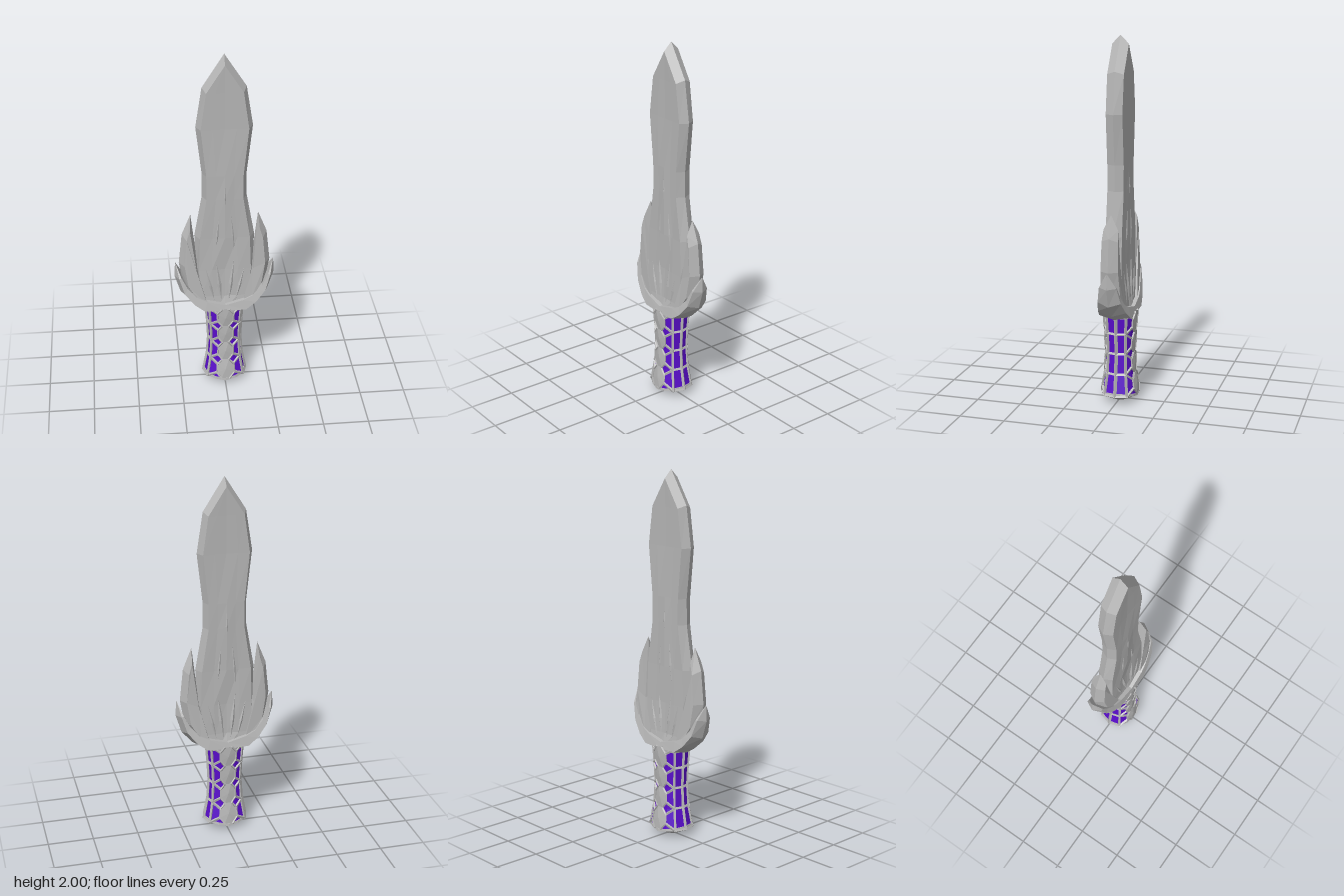
import * as THREE from 'three';

const steel = new THREE.MeshStandardMaterial({ color: 0xb6b6b6 });
steel.name = 'steel grey';
const grip = new THREE.MeshStandardMaterial({ color: 0x5a0dcc });
grip.name = 'grip purple';

// Flat-shaded mesh from a list of triangles (three [x,y,z] corners each)
function facets(tris, mat, name) {
  const g = new THREE.BufferGeometry();
  g.setAttribute('position', new THREE.Float32BufferAttribute(tris.flat(2), 3));
  g.computeVertexNormals();
  const m = new THREE.Mesh(g, mat);
  m.name = name;
  return m;
}

// Skin between successive closed rings, with optional fans at both ends
function loft(rings, start, end) {
  const t = [], n = rings[0].length, last = rings[rings.length - 1];
  for (let r = 0; r + 1 < rings.length; r++)
    for (let i = 0; i < n; i++) {
      const j = (i + 1) % n, a = rings[r], b = rings[r + 1];
      t.push([a[i], b[i], a[j]], [a[j], b[i], b[j]]);
    }
  for (let i = 0; i < n; i++) {
    const j = (i + 1) % n;
    if (start) t.push([start, rings[0][i], rings[0][j]]);
    if (end) t.push([end, last[j], last[i]]);
  }
  return t;
}

// Double-sided bevelled plate: sharp outline at z = 0, inset outline raised front and back
function bevelPlate(outer, inner) {
  const t = [], n = outer.length;
  const o = outer.map(([x, y]) => [x, y, 0]);
  const caps = THREE.ShapeUtils.triangulateShape(inner.map(([x, y]) => new THREE.Vector2(x, y)), []);
  for (let i = 0; i < n; i++) {
    const j = (i + 1) % n;
    t.push([o[i], o[j], inner[j]], [o[i], inner[j], inner[i]]);
  }
  for (const f of caps) t.push(f.map((i) => inner[i]));
  const back = t.map((tri) => tri.map(([x, y, z]) => [x, y, -z]).reverse());
  return t.concat(back);
}

// Handle surface: u = 0 front centre, 3 (or -3) at the side; off pushes outward
const SECTION = [[0, 0.08], [0.045, 0.073], [0.083, 0.052], [0.098, 0]];
const FLARE = [[0, 1.22], [0.05, 1.2], [0.16, 0.98], [0.28, 0.9], [0.4, 0.96], [0.52, 1.06]];
function flare(y) {
  for (let i = 1; i < FLARE.length; i++) {
    const [y0, s0] = FLARE[i - 1], [y1, s1] = FLARE[i];
    if (y <= y1) return s0 + (s1 - s0) * (y - y0) / (y1 - y0);
  }
  return FLARE[FLARE.length - 1][1];
}
function surf(u, y, off = 0) {
  const a = Math.abs(u), k = Math.min(2, Math.floor(a)), f = a - k, s = flare(y);
  const x = (SECTION[k][0] + (SECTION[k + 1][0] - SECTION[k][0]) * f) * s;
  const z = (SECTION[k][1] + (SECTION[k + 1][1] - SECTION[k][1]) * f) * s;
  const l = 1 + off / Math.hypot(x, z);
  return [Math.sign(u) * x * l, y, z * l];
}
function handleRing(y, scale = 1, yAt = () => y) {
  const ring = [];
  for (let u = 3; u >= -2; u--) ring.push(surf(u, y));
  const all = ring.concat(ring.map(([x, yy, z]) => [-x, yy, -z]));
  return all.map(([x, , z]) => [x * scale, yAt(x, z), z * scale]);
}

// Four-sided metal rib between two points
function rib(a, b, r = 0.008) {
  const p = new THREE.Vector3(...a), q = new THREE.Vector3(...b);
  const d = q.clone().sub(p), len = d.length();
  const g = new THREE.CylinderGeometry(r, r, len + r, 4).toNonIndexed();
  g.computeVertexNormals();
  const m = new THREE.Mesh(g, steel);
  m.position.copy(p).add(q).multiplyScalar(0.5);
  m.quaternion.setFromUnitVectors(new THREE.Vector3(0, 1, 0), d.normalize());
  m.name = 'handleRib';
  return m;
}

// One face of the honeycomb cage on the handle
function cageHalf() {
  const g = new THREE.Group();
  g.name = 'handleCage';
  const joints = [0.045, 0.165, 0.28, 0.395, 0.51];
  for (let k = 0; k < 4; k++) {
    const lo = joints[k], hi = joints[k + 1], mid = (lo + hi) / 2;
    const rim = [[0.4, lo], [0.9, mid - 0.026], [0.9, mid + 0.026], [0.4, hi],
      [-0.4, hi], [-0.9, mid + 0.026], [-0.9, mid - 0.026], [-0.4, lo]];
    const pts = rim.map(([u, y]) => surf(u, y, 0.008));
    const centre = surf(0, mid, 0.011);
    g.add(facets(pts.map((p, i) => [centre, p, pts[(i + 1) % 8]]), steel, 'hexPlate'));
    pts.forEach((p, i) => { if (i !== 3 && i !== 7) g.add(rib(p, pts[(i + 1) % 8], 0.006)); });
    for (const s of [1, -1]) {
      g.add(rib(surf(0.9 * s, mid - 0.026, 0.004), surf(2 * s, lo, 0.002)));
      g.add(rib(surf(0.9 * s, mid + 0.026, 0.004), surf(2 * s, hi, 0.002)));
      g.add(rib(surf(2 * s, lo), surf(2 * s, hi), 0.009));
      g.add(rib(surf(2 * s, lo), surf(3 * s, lo), 0.009));
    }
    g.add(rib(surf(3, lo), surf(3, hi), 0.01));
  }
  return g;
}

// Blade rows: outer y, inner y, outer half width, inner half width, face z, mid rise, centre rise
const BLADE = [
  [0.5, 0.5, 0.1, 0.09, 0.06, 0.0, 0.008],
  [0.58, 0.58, 0.15, 0.135, 0.052, 0.0, -0.003],
  [0.75, 0.75, 0.158, 0.142, 0.046, 0.002, -0.004],
  [0.95, 0.95, 0.162, 0.135, 0.045, -0.002, 0.003],
  [1.19, 1.19, 0.12, 0.098, 0.045, 0.0, 0.005],
  [1.33, 1.33, 0.119, 0.098, 0.045, 0.001, 0.003],
  [1.6, 1.6, 0.149, 0.125, 0.045, -0.002, -0.004],
  [1.82, 1.805, 0.115, 0.096, 0.045, -0.001, -0.003],
  [2.0, 1.955, 0, 0, 0.045, 0, 0],
];
function bladeRing([yo, yi, w, wi, z, a, b]) {
  const half = [[w, yo, 0], [wi, yi, z], [wi * 0.5, yi, z + a], [0, yi, z + b],
    [-wi * 0.5, yi, z + a], [-wi, yi, z]];
  return half.concat(half.map(([x, y, zz]) => [-x, y, -zz]));
}

// Slim raised flame crease lying on a blade face
function flame(x0, y0, x1, y1, w, z0, z1) {
  const d = new THREE.Vector2(x1 - x0, y1 - y0).normalize();
  const mx = x0 + (x1 - x0) * 0.4, my = y0 + (y1 - y0) * 0.4, mz = z0 + (z1 - z0) * 0.4;
  const A = [x0, y0, z0], B = [x1, y1, z1], M = [mx, my, mz + 0.007];
  const R = [mx + d.y * w, my - d.x * w, mz - 0.003], L = [mx - d.y * w, my + d.x * w, mz - 0.003];
  return [[A, R, M], [R, B, M], [B, L, M], [L, A, M]];
}

export function createModel() {
  const root = new THREE.Group();
  root.name = 'dagger';

  // Blade
  root.add(facets(loft(BLADE.map(bladeRing), [0, 0.5, 0]), steel, 'blade'));
  const creases = [flame(0, 1.12, 0, 1.32, 0.014, 0.047, 0.046)];
  for (const s of [1, -1]) {
    creases.push(flame(0.02 * s, 0.55, 0.05 * s, 0.82, 0.012, 0.055, 0.044));
    creases.push(flame(0.06 * s, 0.56, 0.11 * s, 0.78, 0.012, 0.054, 0.045));
    creases.push(flame(0.05 * s, 0.86, 0.03 * s, 1.12, 0.012, 0.043, 0.045));
  }
  const front = facets(creases.flat(), steel, 'flameCreases');
  const rear = front.clone();
  rear.rotation.y = Math.PI;
  root.add(front, rear);

  // Flame prongs beside the blade
  const outer = [[0.182, 1.08], [0.145, 0.76], [0.09, 0.52], [0.15, 0.53], [0.225, 0.64], [0.249, 0.78], [0.23, 0.96]];
  const inner = [[0.188, 1.0, 0.04], [0.155, 0.75, 0.047], [0.1, 0.54, 0.066], [0.145, 0.56, 0.064],
    [0.2, 0.65, 0.054], [0.22, 0.78, 0.048], [0.206, 0.94, 0.045]];
  const flip = (p) => p.map(([x, ...r]) => [-x, ...r]).reverse();
  root.add(facets(bevelPlate(outer, inner), steel, 'leftProng'));
  root.add(facets(bevelPlate(flip(outer), flip(inner)), steel, 'rightProng'));

  // Crescent guard: inner edge, lower face edge, keel (x, y pairs), inner z, lower z
  const half = [
    [0, 0.535, 0, 0.5, 0, 0.488, 0.08, 0.088],
    [0.1, 0.56, 0.115, 0.505, 0.12, 0.486, 0.076, 0.087],
    [0.155, 0.585, 0.17, 0.545, 0.18, 0.522, 0.068, 0.078],
    [0.205, 0.64, 0.222, 0.61, 0.242, 0.592, 0.056, 0.064],
    [0.238, 0.705, 0.25, 0.7, 0.274, 0.695, 0.046, 0.048],
    [0.268, 0.78, 0.268, 0.78, 0.27, 0.778, 0.002, 0.002],
  ];
  const stations = half.slice(1).reverse().map((r) => r.map((v, i) => (i < 6 && i % 2 === 0 ? -v : v))).concat(half);
  root.add(facets(loft(stations.map(([ux, uy, lx, ly, kx, ky, uz, lz]) =>
    [[ux, uy, uz], [ux, uy, -uz], [lx, ly, -lz], [kx, ky, 0], [lx, ly, lz]])), steel, 'guard'));

  // Grip core and its cage
  root.add(facets(loft([0.045, 0.16, 0.28, 0.4, 0.51].map((y) => handleRing(y))), grip, 'gripCore'));
  const cage = cageHalf(), backCage = cageHalf();
  backCage.rotation.y = Math.PI;
  root.add(cage, backCage);

  // Collar under the guard and faceted pommel cap
  root.add(facets(loft([handleRing(0.485, 1.04), handleRing(0.51, 1.04)], [0, 0.485, 0]), steel, 'collar'));
  const rimY = (x) => 0.025 + 0.2 * Math.abs(x);
  root.add(facets(loft([
    handleRing(0.0, 0.55, () => 0.012),
    handleRing(0.03, 1.03, rimY),
    handleRing(0.06, 1.03, (x) => rimY(x) + 0.014),
    handleRing(0.06, 0.9, (x) => rimY(x) + 0.014),
  ], [0, 0, 0]), steel, 'pommel'));

  return root;
}
